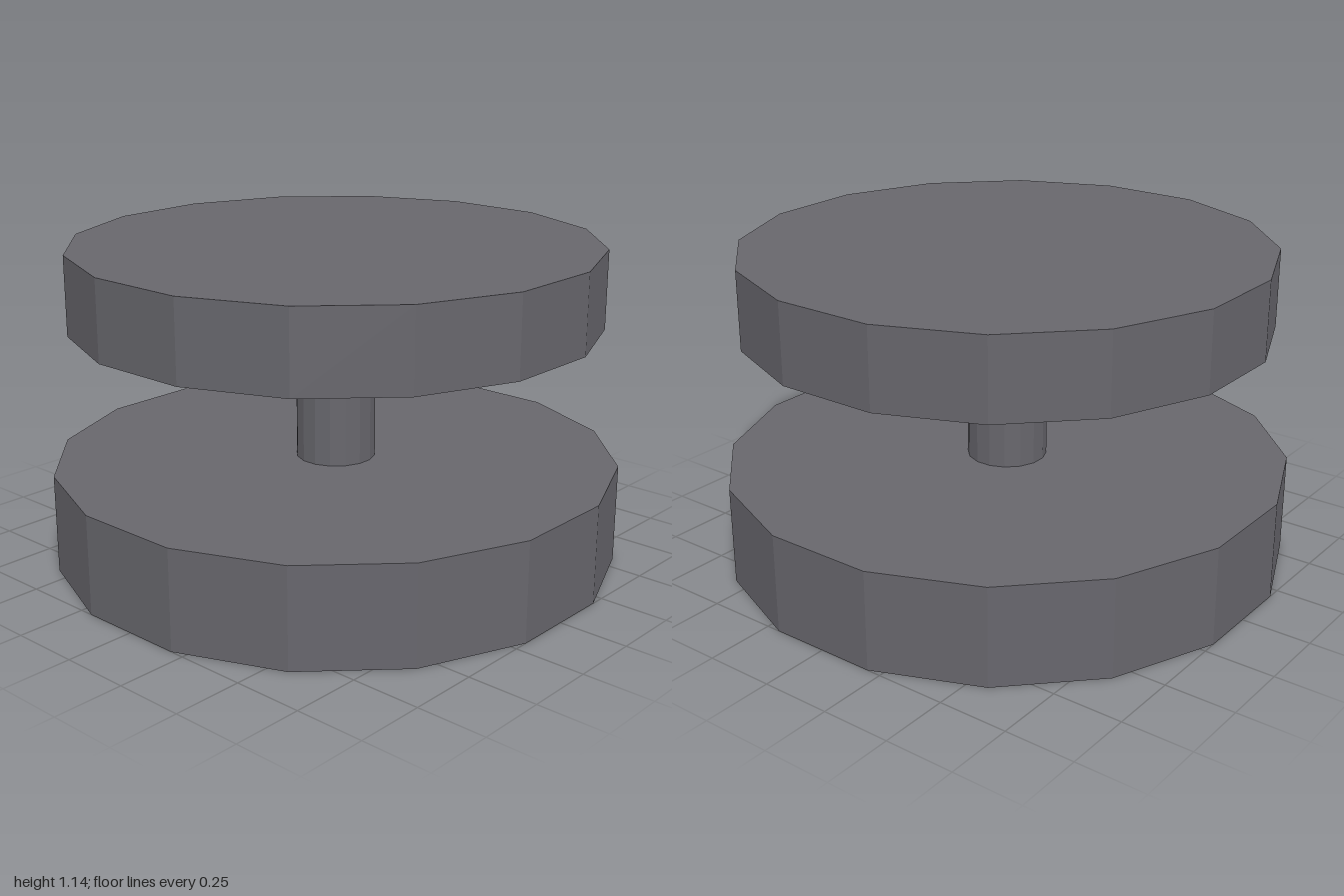
import * as THREE from 'three';

const SIDES = 16;

export function createModel() {
  const group = new THREE.Group();
  const darkGrey = new THREE.MeshStandardMaterial({ color: 0x67666c, flatShading: true });
  darkGrey.name = 'darkGrey';

  // Sixteen-sided prism with flats facing the axes; apothem is the distance to a flat
  const addDisc = (name, apothem, bottom, top) => {
    const radius = apothem / Math.cos(Math.PI / SIDES);
    const geometry = new THREE.CylinderGeometry(
      radius, radius, top - bottom, SIDES, 1, false, Math.PI / SIDES);
    const mesh = new THREE.Mesh(geometry, darkGrey);
    mesh.name = name;
    mesh.position.y = (bottom + top) / 2;
    group.add(mesh);
  };

  addDisc('baseDisc', 1, 0, 0.357);
  addDisc('stem', 0.141, 0.357, 0.86);
  addDisc('topDisc', 0.927, 0.86, 1.143);

  return group;
}
